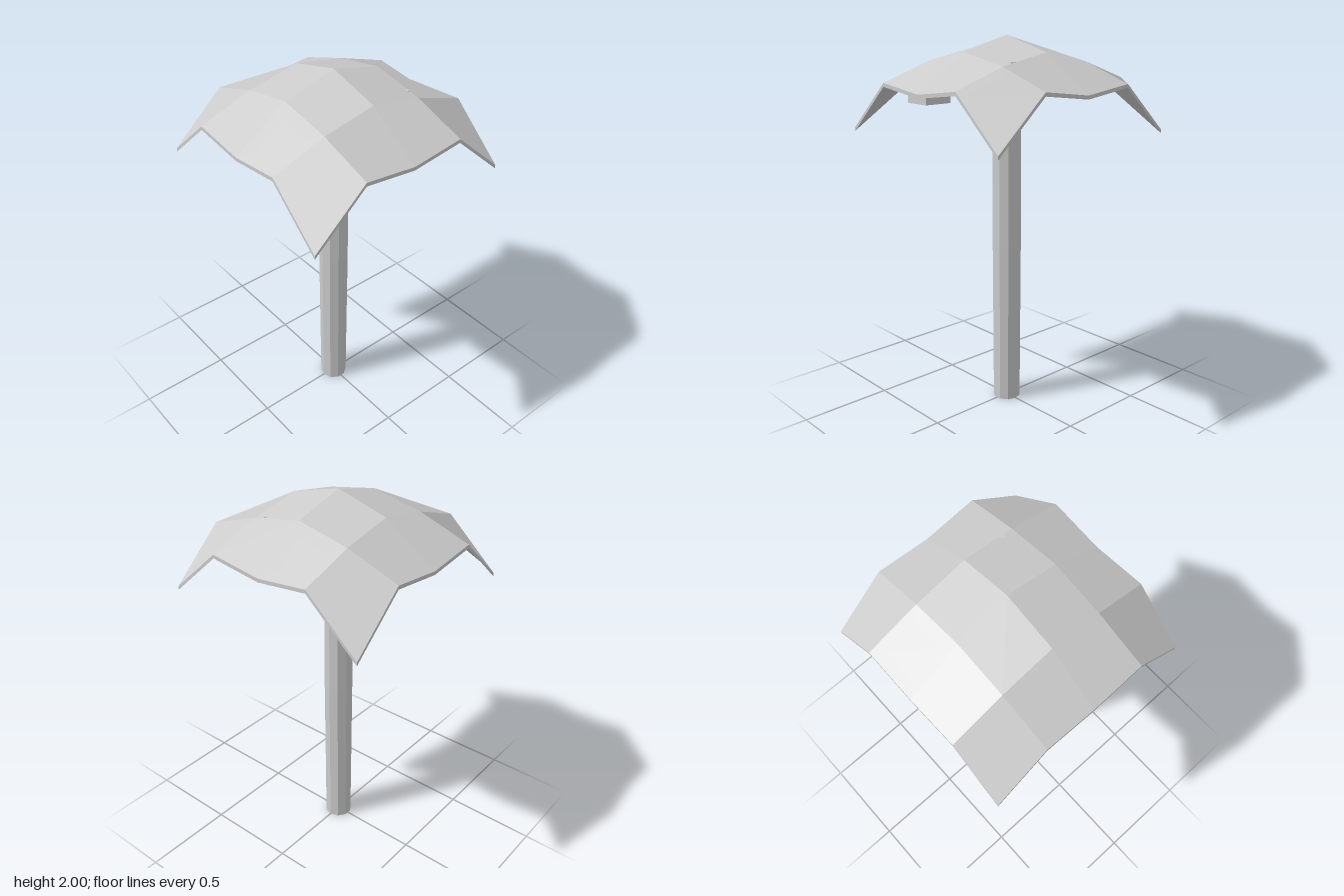
import * as THREE from 'three';

const material = new THREE.MeshStandardMaterial({ color: 0xcccccc, side: THREE.DoubleSide });
const flat = new THREE.MeshStandardMaterial({ color: 0xcccccc, flatShading: true });

// Canopy heights by grid steps away from the centre in x and z
const HEIGHTS = [
  [2.0, 1.925, 1.74],
  [1.925, 1.87, 1.775],
  [1.74, 1.775, 1.525],
];
const SIZE = 1.13, SEGMENTS = 4, THICKNESS = 0.019;

// One normal per quad, so each bent panel shades as a single facet
function facetQuads(geometry) {
  const g = geometry.toNonIndexed();
  const p = g.attributes.position, n = g.attributes.normal;
  const at = (i) => new THREE.Vector3().fromBufferAttribute(p, i);
  for (let q = 0; q < p.count; q += 6) {
    const normal = new THREE.Vector3();
    for (const t of [q, q + 3]) {
      const a = at(t);
      normal.add(at(t + 1).sub(a).cross(at(t + 2).sub(a)));
    }
    normal.normalize();
    for (let k = 0; k < 6; k++) n.setXYZ(q + k, normal.x, normal.y, normal.z);
  }
  return g;
}

// Thin slab whose grid points are lifted into a drooping leaf roof
function canopyGeometry() {
  const g = new THREE.BoxGeometry(SIZE, THICKNESS, SIZE, SEGMENTS, 1, SEGMENTS);
  const p = g.attributes.position, step = SIZE / SEGMENTS;
  for (let i = 0; i < p.count; i++) {
    const ix = Math.round(Math.abs(p.getX(i)) / step);
    const iz = Math.round(Math.abs(p.getZ(i)) / step);
    p.setY(i, HEIGHTS[ix][iz] - (p.getY(i) < 0 ? THICKNESS : 0));
  }
  return facetQuads(g);
}

export function createModel() {
  const model = new THREE.Group();
  model.name = 'palmTree';
  const add = (name, geometry, mat, x = 0, y = 0, z = 0) => {
    const mesh = new THREE.Mesh(geometry, mat);
    mesh.name = name;
    mesh.position.set(x, y, z);
    model.add(mesh);
  };

  // Ten-sided trunk, slightly fuller in the middle
  const profile = [[0, 0], [0.075, 0], [0.078, 0.9], [0.073, 1.9], [0, 1.9]];
  add('trunk', new THREE.LatheGeometry(profile.map(([r, y]) => new THREE.Vector2(r, y)), 10), flat);

  add('canopy', canopyGeometry(), material);

  // Cube fruits hanging under the canopy: size, x, y, z
  const fruits = [
    [0.155, 0.315, 1.738, 0.245],
    [0.11, 0.172, 1.832, -0.225],
    [0.09, -0.1, 1.858, 0.2],
    [0.068, -0.3, 1.795, -0.25],
  ];
  fruits.forEach(([s, x, y, z], i) => add(`fruit${i + 1}`, new THREE.BoxGeometry(s, s, s), flat, x, y, z));

  return model;
}
